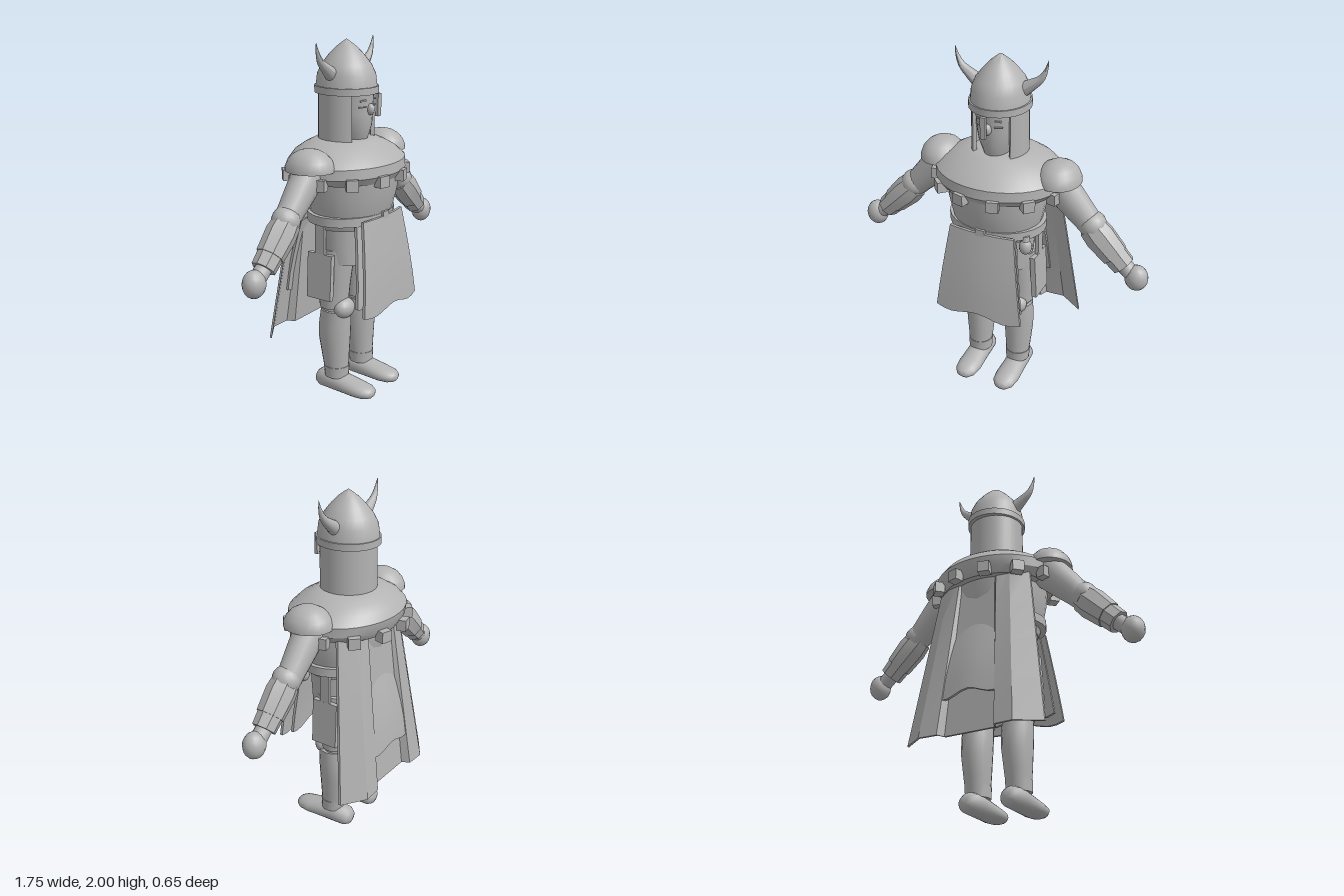
import * as THREE from 'three';
import { toCreasedNormals } from 'three/addons/utils/BufferGeometryUtils.js';

const grey = new THREE.MeshStandardMaterial({ color: 0xb3b3b3 });
grey.name = 'plain grey';
grey.side = THREE.DoubleSide;

export function createModel() {
  const model = new THREE.Group();
  model.name = 'hornedWarrior';

  const add = (name, geometry, x = 0, y = 0, z = 0, parent = model) => {
    const mesh = new THREE.Mesh(geometry, grey);
    mesh.name = name;
    mesh.position.set(x, y, z);
    parent.add(mesh);
    return mesh;
  };

  // Closed body through elliptical sections [y, rx, rz, zCentre], lowest first
  const loft = (sections, n = 24, crease = 0.6) => {
    const first = sections[0], last = sections[sections.length - 1];
    const rows = [[first[0], 0.0005, 0.0005, first[3]], ...sections, [last[0], 0.0005, 0.0005, last[3]]];
    const pos = [], index = [];
    rows.forEach(([y, rx, rz = rx, cz = 0], j) => {
      for (let i = 0; i < n; i++) {
        const a = (i / n) * Math.PI * 2;
        pos.push(Math.sin(a) * rx, y, cz + Math.cos(a) * rz);
        if (j === 0) continue;
        const k = (i + 1) % n, lo = (j - 1) * n, hi = j * n;
        index.push(lo + i, lo + k, hi + k, lo + i, hi + k, hi + i);
      }
    });
    const g = new THREE.BufferGeometry();
    g.setAttribute('position', new THREE.Float32BufferAttribute(pos, 3));
    g.setIndex(index);
    return toCreasedNormals(g, crease);
  };

  // Thick sheet: u runs -1..1 across, v runs 0 (bottom)..1 (top)
  const sheet = (nu, nv, thickness, rule) => {
    const g = new THREE.BoxGeometry(2, 1, thickness, nu, nv, 1);
    const p = g.attributes.position;
    for (let i = 0; i < p.count; i++) {
      const [x, y, z] = rule(p.getX(i), p.getY(i) + 0.5);
      p.setXYZ(i, x, y, z + p.getZ(i));
    }
    return toCreasedNormals(g, 0.4);
  };

  // Face with nose and eyes
  add('face', loft([
    [1.44, 0.055, 0.085, 0.03], [1.48, 0.07, 0.1, 0.03], [1.55, 0.098, 0.12, 0.03],
    [1.62, 0.112, 0.122, 0.03], [1.75, 0.118, 0.13, 0.03]]));
  add('nose', new THREE.SphereGeometry(0.026, 14, 10), 0, 1.64, 0.155).scale.set(0.8, 1.2, 1);
  for (const s of [-1, 1]) {
    add('eye', new THREE.BoxGeometry(0.035, 0.008, 0.009), s * 0.055, 1.69, 0.145).rotation.set(0, s * 0.4, -s * 0.1);
    add('cheekLine', new THREE.BoxGeometry(0.045, 0.006, 0.009), s * 0.055, 1.655, 0.142).rotation.set(0, s * 0.45, 0);
  }

  // Hair curtain, open at the face
  for (const r of [0.153, 0.135]) {
    add('hair', new THREE.CylinderGeometry(r, r + 0.003, 0.3, 28, 1, true, 0.78, Math.PI * 2 - 1.56), 0, 1.6, 0);
  }
  for (const s of [-1, 1]) {
    add('hairEdge', new THREE.BoxGeometry(0.02, 0.3, 0.004), s * 0.102, 1.6, 0.102).rotation.y = -s * 0.79;
  }

  // Helmet
  add('helmetRim', loft([[1.72, 0.166, 0.178], [1.758, 0.166, 0.178]], 28));
  add('helmetDome', loft([
    [1.75, 0.158, 0.172], [1.82, 0.15, 0.163], [1.87, 0.13, 0.137], [1.92, 0.09, 0.098],
    [1.96, 0.052, 0.058], [1.985, 0.022, 0.025], [2, 0.001, 0.001]], 28));
  add('noseGuard', new THREE.BoxGeometry(0.03, 0.12, 0.018), 0, 1.67, 0.205);

  // Horns: tapered rings along a bent path
  const horn = (s) => {
    const path = new THREE.CatmullRomCurve3([[0.12, 1.82], [0.17, 1.855], [0.225, 1.9], [0.25, 1.95], [0.262, 2]]
      .map(([x, y]) => new THREE.Vector3(s * x, y, -0.005)));
    const n = 12, rings = 12;
    const g = new THREE.TubeGeometry(path, rings, 1, n, false), p = g.attributes.position;
    for (let j = 0; j <= rings; j++) {
      const c = path.getPointAt(j / rings), r = 0.04 * (1 - j / rings) + 0.001;
      for (let i = 0; i <= n; i++) {
        const k = j * (n + 1) + i, v = new THREE.Vector3().fromBufferAttribute(p, k).sub(c).multiplyScalar(r).add(c);
        p.setXYZ(k, v.x, v.y, v.z);
      }
    }
    g.computeVertexNormals();
    add('horn', g);
  };
  [-1, 1].forEach(horn);

  // Shoulder mantle with a ring of studs
  add('mantle', loft([
    [1.27, 0.325, 0.275, 0.01], [1.31, 0.36, 0.3, 0.01], [1.365, 0.36, 0.302, 0.003],
    [1.41, 0.31, 0.265, -0.005], [1.445, 0.25, 0.21, -0.01], [1.468, 0.19, 0.17, -0.005],
    [1.478, 0.14, 0.14, 0]], 36, 0.5));
  for (let i = 0; i < 12; i++) {
    const a = (i + 0.5) * Math.PI / 6;
    add('mantleStud', new THREE.BoxGeometry(0.065, 0.062, 0.055),
      Math.sin(a) * 0.36, 1.285, Math.cos(a) * 0.302).rotation.y = a;
  }

  // Torso, belt and hips
  add('torso', loft([
    [1, 0.23, 0.19, 0.03], [1.05, 0.245, 0.205, 0.035], [1.12, 0.262, 0.23, 0.03],
    [1.2, 0.277, 0.25, 0.03], [1.29, 0.285, 0.26, 0.03]], 28));
  add('belt', loft([[1.035, 0.278, 0.222, 0.03], [1.085, 0.278, 0.222, 0.03]], 28));
  add('buckle', new THREE.BoxGeometry(0.055, 0.04, 0.03), 0, 1.075, 0.25);
  add('hips', loft([[0.795, 0.2, 0.145, 0.045], [0.9, 0.215, 0.15, 0.04], [1.04, 0.225, 0.16, 0.035]], 20));
  for (const s of [-1, 1]) {
    add('hipPlate', new THREE.BoxGeometry(0.03, 0.26, 0.16), s * 0.235, 0.73, -0.01).rotation.z = s * 0.06;
    add('hipStrap', new THREE.BoxGeometry(0.02, 0.24, 0.06), s * 0.232, 0.95, -0.01);
  }
  add('pouch', new THREE.SphereGeometry(0.036, 14, 10), 0.22, 0.985, 0.15).scale.y = 1.3;
  add('pouchCap', new THREE.CylinderGeometry(0.02, 0.025, 0.03, 12), 0.22, 1.04, 0.15);

  // Tabard: two sheets in front, one behind
  const flap = (name, top, bottom, zTop, zBottom, halfTop, halfBottom) =>
    add(name, sheet(10, 4, 0.016, (u, v) => {
      const wave = (1 - v) * 0.018 * Math.cos(u * 4.5);
      const bulge = -0.02 * u * u * Math.sign(zTop);
      return [u * THREE.MathUtils.lerp(halfBottom, halfTop, v),
        THREE.MathUtils.lerp(bottom, top, v) + wave,
        THREE.MathUtils.lerp(zBottom, zTop, Math.pow(v, 1.4)) + bulge];
    }));
  flap('frontTabard', 1.07, 0.56, 0.255, 0.315, 0.19, 0.26);
  flap('innerTabard', 1.04, 0.59, 0.205, 0.252, 0.18, 0.235);
  flap('backTabard', 1.0, 0.58, -0.215, -0.298, 0.17, 0.2);

  // Pleated cape, half cross-section from the middle outwards
  const hemX = [0, 0.15, 0.17, 0.28, 0.412], hemZ = [-0.27, -0.27, -0.315, -0.32, -0.23];
  const topZ = [-0.19, -0.19, -0.2, -0.185, -0.125];
  add('cape', sheet(8, 4, 0.014, (u, v) => {
    const k = Math.round(Math.abs(u) * 4);
    return [Math.sign(u) * hemX[k] * THREE.MathUtils.lerp(1, 0.69, v),
      THREE.MathUtils.lerp(0.367, 1.32, v), THREE.MathUtils.lerp(hemZ[k], topZ[k], v)];
  }));

  // Limb section lofted from a shoulder-side point along a direction
  const limb = (name, from, to, sections, n, crease) => {
    const a = new THREE.Vector3(...from), dir = new THREE.Vector3(...to).sub(a).normalize();
    const mesh = add(name, loft(sections, n, crease), ...from);
    mesh.quaternion.setFromUnitVectors(new THREE.Vector3(0, 1, 0), dir);
  };

  for (const s of [-1, 1]) {
    // Shoulder guard
    add('shoulderGuard', loft([
      [1.355, 0.122, 0.138, 0.01], [1.375, 0.121, 0.137, 0.01], [1.41, 0.108, 0.122, 0.01],
      [1.44, 0.083, 0.094, 0.01], [1.46, 0.05, 0.056, 0.01], [1.469, 0.01, 0.012, 0.01]], 24), s * 0.345);

    // Arm, bracer and fist
    limb('upperArm', [s * 0.33, 1.34, 0], [s * 0.55, 1.11, 0],
      [[0, 0.1, 0.08], [0.12, 0.09, 0.078], [0.24, 0.077, 0.07], [0.33, 0.07, 0.066]], 16);
    add('elbow', new THREE.SphereGeometry(0.077, 16, 12), s * 0.545, 1.13, 0.005);
    limb('bracer', [s * 0.54, 1.12, 0.008], [s * 0.74, 0.92, 0.008],
      [[0, 0.08, 0.072], [0.07, 0.088, 0.082], [0.2, 0.076, 0.076], [0.2, 0.07, 0.07], [0.275, 0.066, 0.066]], 8, 0.2);
    limb('wrist', [s * 0.72, 0.94, 0.008], [s * 0.8, 0.87, 0.008], [[0, 0.045], [0.1, 0.045]], 12);
    add('fist', new THREE.SphereGeometry(0.063, 14, 10), s * 0.81, 0.868, 0.01).scale.set(1.03, 1.18, 0.95);

    // Leg, knee guard and greave
    add('thigh', loft([
      [0.525, 0.082, 0.08, -0.0], [0.65, 0.093, 0.092], [0.8, 0.1, 0.105, 0.01], [0.88, 0.1, 0.11, 0.01]], 20), s * 0.122);
    add('kneeJoint', loft([[0.49, 0.072, 0.07], [0.54, 0.072, 0.07]], 16), s * 0.122);
    add('kneeGuard', new THREE.SphereGeometry(0.06, 16, 12), s * 0.125, 0.525, 0.072).scale.set(1.2, 1, 0.9);
    add('greave', loft([
      [0.13, 0.066, 0.07, 0.018], [0.22, 0.075, 0.079, 0.012], [0.33, 0.083, 0.093, 0.005],
      [0.42, 0.086, 0.094, 0.008], [0.51, 0.083, 0.087, 0.015]], 20), s * 0.124);
    add('ankleCuff', loft([[0.1, 0.07, 0.068, 0.02], [0.165, 0.073, 0.074, 0.018]], 20), s * 0.124);

    // Shoe: rounded sections from heel to toe, flattened on the sole
    const shoe = loft([
      [-0.11, 0.015, 0.015, 0.055], [-0.1, 0.045, 0.04, 0.057], [-0.075, 0.06, 0.056, 0.06],
      [0, 0.066, 0.062, 0.064], [0.08, 0.068, 0.054, 0.056], [0.17, 0.072, 0.045, 0.047],
      [0.23, 0.064, 0.038, 0.044], [0.262, 0.042, 0.026, 0.042], [0.276, 0.012, 0.01, 0.042]], 18, 0.9);
    shoe.rotateX(Math.PI / 2).scale(1, -1, 1);
    // The flip above reverses the faces, so swap two corners of each triangle
    for (const attr of Object.values(shoe.attributes)) {
      const d = attr.array, w = attr.itemSize;
      for (let t = 0; t < d.length; t += w * 3) {
        for (let c = 0; c < w; c++) [d[t + w + c], d[t + 2 * w + c]] = [d[t + 2 * w + c], d[t + w + c]];
      }
    }
    add('shoe', shoe, s * 0.125, 0.002, 0);
  }
  return model;
}
